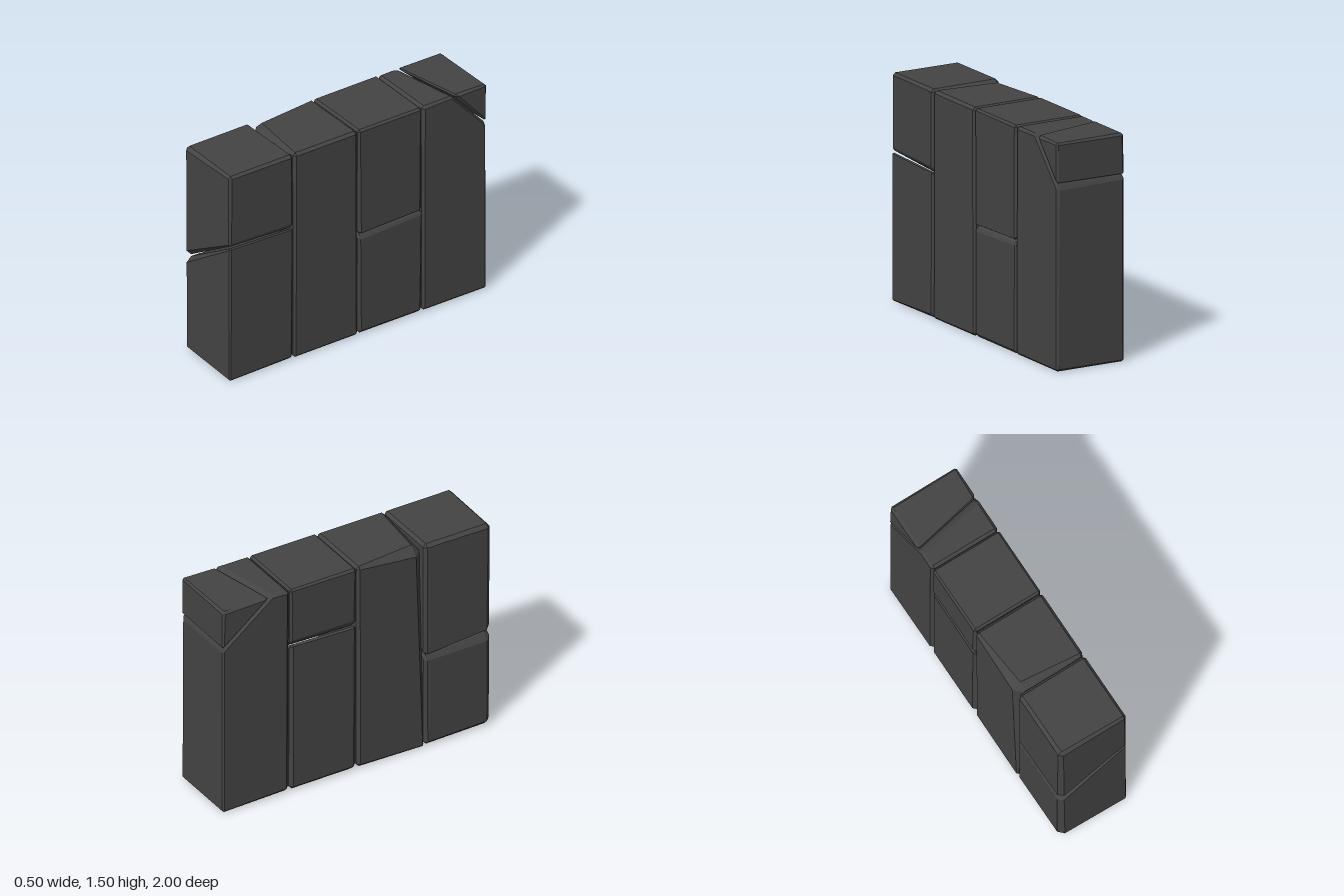
import * as THREE from 'three';
import { ConvexGeometry } from 'three/addons/geometries/ConvexGeometry.js';

const HALF = 0.25; // half the wall thickness

// Small seeded generator for uneven chipped edges
let seed = 7;
const rand = () => (seed = (seed * 16807) % 2147483647) / 2147483647;

// Chamfered stone: two matching [z, y] outlines, one on each wall face.
// chips maps a corner number on the -x face to a larger chamfer.
function stoneGeometry(leftOutline, rightOutline, chips = {}) {
  const rings = [
    leftOutline.map(([z, y]) => new THREE.Vector3(HALF, y, z)),
    rightOutline.map(([z, y]) => new THREE.Vector3(-HALF, y, z)),
  ];
  const points = [];
  rings.forEach((ring, side) => {
    const n = ring.length;
    ring.forEach((p, i) => {
      const size = (side && chips[i]) || 0.01 + rand() * (side ? 0.018 : 0.012);
      const steps = [ring[(i + 1) % n], ring[(i + n - 1) % n], rings[1 - side][i]]
        .map((q) => q.clone().sub(p).setLength(size));
      // One point on each of the three faces meeting at this corner
      for (let k = 0; k < 3; k++) {
        points.push(p.clone().add(steps[k]).add(steps[(k + 1) % 3]));
      }
    });
  });
  return new ConvexGeometry(points);
}

// Four-sided outline from z0 (front) to z1 (back); bottom and top are [front y, back y]
const quad = (z0, z1, bottom, top) => [
  [z0, bottom[0]], [z1, bottom[1]], [z1, top[1]], [z0, top[0]],
];

export function createModel() {
  seed = 7;
  const wall = new THREE.Group();
  wall.name = 'stoneWall';
  const material = new THREE.MeshStandardMaterial({ color: 0x444444, flatShading: true });
  const add = (name, left, right, chips) => {
    const mesh = new THREE.Mesh(stoneGeometry(left, right, chips), material);
    mesh.name = name;
    wall.add(mesh);
  };
  const floor = [0, 0], roof = [1.5, 1.5];

  // Front column, split by a slanting crack
  add('frontLowerStone',
    quad(1, 0.502, floor, [0.98, 0.965]),
    quad(1, 0.502, floor, [0.67, 0.65]), { 0: 0.035, 3: 0.035 });
  add('frontUpperStone',
    quad(1, 0.502, [0.995, 0.975], roof),
    quad(1, 0.502, [0.685, 0.66], roof), { 0: 0.035 });

  // Tall second column
  add('tallStone',
    quad(0.498, 0.002, floor, roof),
    quad(0.498, 0.002, floor, roof), { 3: 0.06 });

  // Third column, split by a crack slanting the other way
  add('middleLowerStone',
    quad(-0.002, -0.498, floor, [0.71, 0.725]),
    quad(-0.002, -0.498, floor, [1.08, 1.095]));
  add('middleUpperStone',
    quad(-0.002, -0.498, [0.72, 0.735], roof),
    quad(-0.002, -0.498, [1.09, 1.105], roof));

  // Back column with its upper rear corner broken off
  add('backStone',
    [[-0.502, 0], [-1, 0], [-1, 1.21], [-0.735, 1.5], [-0.502, 1.5]],
    [[-0.502, 0], [-1, 0], [-1, 1.21], [-0.635, 1.5], [-0.502, 1.5]]);
  add('backCornerStone',
    [[-1, 1.225], [-1, 1.5], [-0.75, 1.5]],
    [[-1, 1.225], [-1, 1.5], [-0.65, 1.5]]);

  return wall;
}
